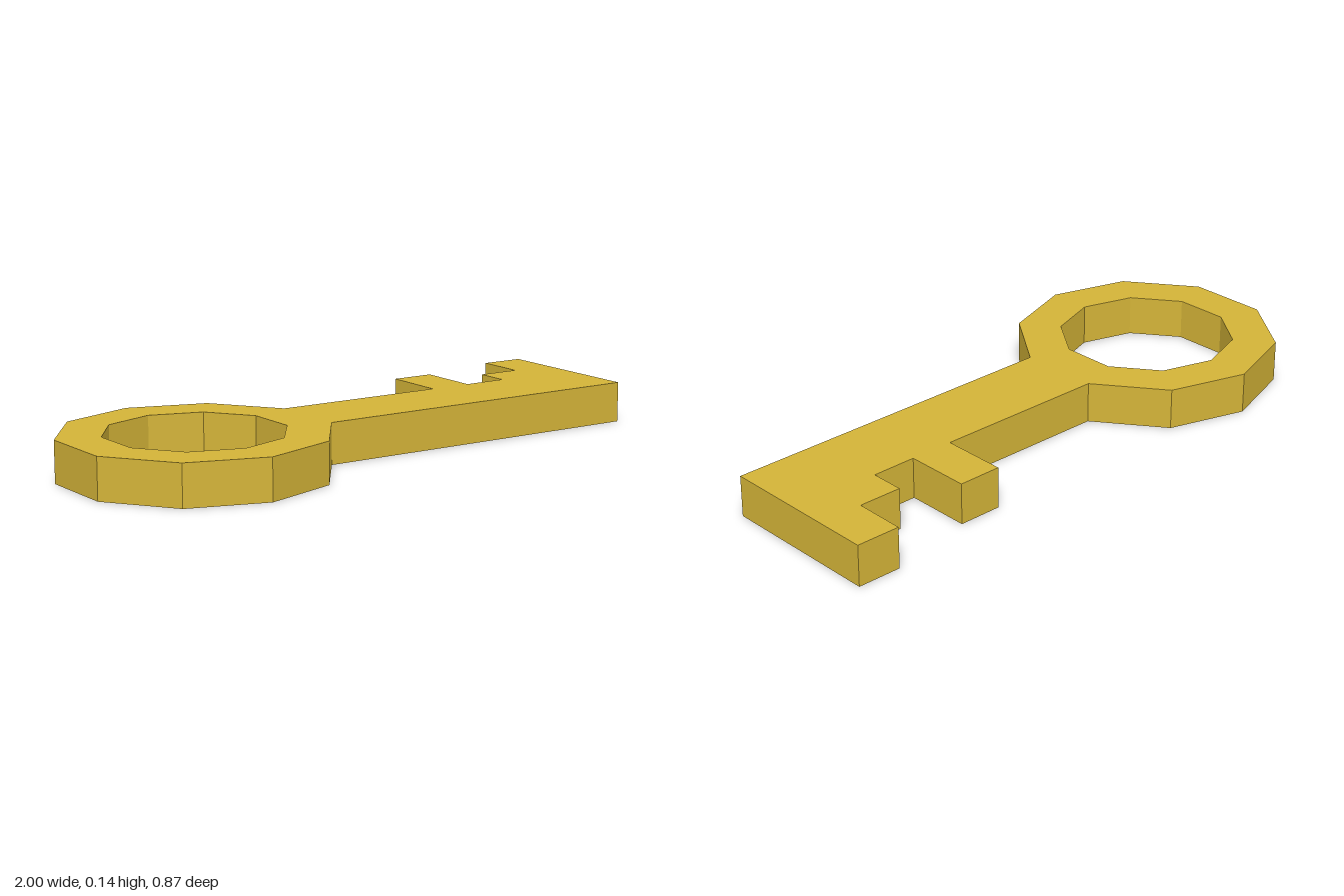
import * as THREE from 'three';

const THICKNESS = 0.135;
const BOW = { x: -0.588, outer: 0.432, inner: 0.289, sides: 10, start: 19.5 };

// Corners of the ten-sided bow, counter-clockwise from the upper shaft joint
function bowCorners(radius) {
  return Array.from({ length: BOW.sides }, (_, i) => {
    const a = THREE.MathUtils.degToRad(BOW.start + (i * 360) / BOW.sides);
    return new THREE.Vector2(BOW.x + radius * Math.cos(a), radius * Math.sin(a));
  });
}

export function createModel() {
  const gold = new THREE.MeshStandardMaterial({ color: 0xd4b438, flatShading: true });
  gold.name = 'gold';

  // Slightly tilted shaft and stepped teeth, from the lower joint to the upper one
  const bladeCorners = [
    [0.998, -0.105], [0.99, 0.438], [0.843, 0.437], [0.844, 0.268],
    [0.699, 0.267], [0.701, 0.155], [0.552, 0.152], [0.549, 0.368],
    [0.403, 0.366], [0.406, 0.15],
  ].map(([x, y]) => new THREE.Vector2(x, y));

  // One outline for bow and blade, with the finger hole cut out
  const outline = new THREE.Shape([...bowCorners(BOW.outer), ...bladeCorners]);
  outline.holes.push(new THREE.Path(bowCorners(BOW.inner).reverse()));

  const geometry = new THREE.ExtrudeGeometry(outline, { depth: THICKNESS, bevelEnabled: false });
  geometry.rotateX(-Math.PI / 2); // lay flat, teeth towards the back

  const key = new THREE.Mesh(geometry, gold);
  key.name = 'keyBody';

  const group = new THREE.Group();
  group.name = 'key';
  group.add(key);
  return group;
}
